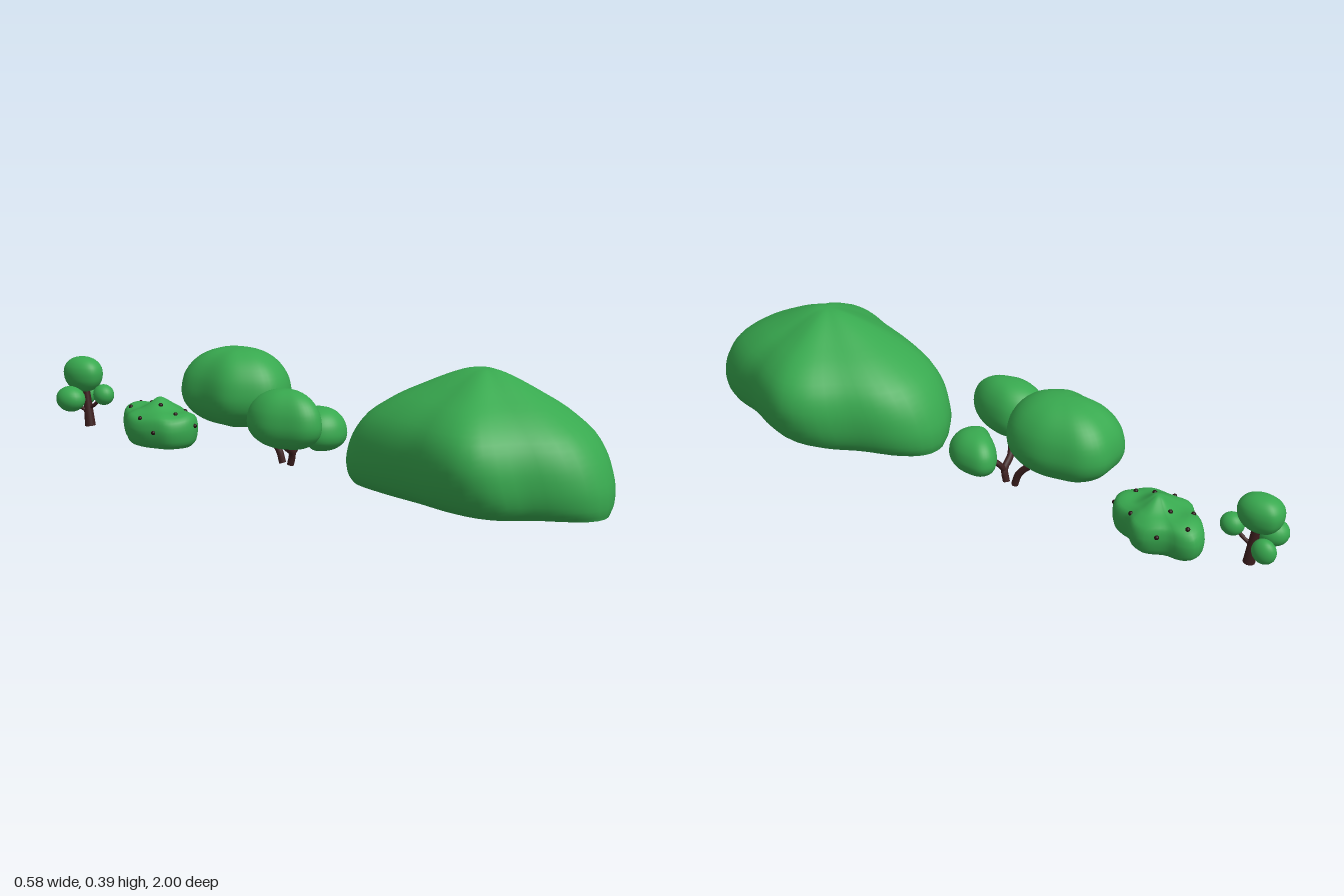
import * as THREE from 'three';
import { mergeVertices } from 'three/addons/utils/BufferGeometryUtils.js';

const leaf = new THREE.MeshStandardMaterial({ color: 0x38a94f, side: THREE.DoubleSide });
leaf.name = 'leaf green';
const bark = new THREE.MeshStandardMaterial({ color: 0x3c1e1e });
bark.name = 'dark bark';
const berry = new THREE.MeshStandardMaterial({ color: 0x241010 });
berry.name = 'dark berry';

const V = (p) => new THREE.Vector3(...p);

// Rounded skin: a plan outline [x, z] scaled about a centre at each level [y, scaleX, scaleZ]
function blob(name, outline, [cx, cz], levels, lump = () => 0) {
  const N = 56, M = 28, pos = [], idx = [];
  const ring = new THREE.CatmullRomCurve3(outline.map(([x, z]) => V([x, 0, z])), true).getSpacedPoints(N);
  const rows = new THREE.CatmullRomCurve3(levels.map(V)).getPoints(M);
  rows.forEach(({ x: y, y: sx, z: sz }) => {
    for (let i = 0; i < N; i++) {
      const x = cx + (ring[i].x - cx) * sx, z = cz + (ring[i].z - cz) * sz;
      pos.push(x, y + lump(x, z, y), z);
    }
  });
  for (let j = 0; j < M; j++) {
    for (let i = 0; i < N; i++) {
      const a = j * N + i, b = j * N + (i + 1) % N;
      idx.push(a, a + N, b, b, a + N, b + N);
    }
  }
  let geo = new THREE.BufferGeometry();
  geo.setAttribute('position', new THREE.Float32BufferAttribute(pos, 3));
  geo.setIndex(idx);
  geo = mergeVertices(geo, 1e-5);
  geo.computeVertexNormals();
  const mesh = new THREE.Mesh(geo, leaf);
  mesh.name = name;
  return mesh;
}

// Closed dome-like levels, widest a little below the middle
function domeLevels(y0, y1, waist = 0.43) {
  const ym = y0 + (y1 - y0) * waist, out = [];
  for (let k = 0; k <= 12; k++) {
    const a = -Math.PI / 2 + (Math.PI * k) / 12, s = Math.sin(a);
    const r = k % 12 ? Math.pow(Math.cos(a), 0.85) : 0;
    out.push([ym + s * (s < 0 ? ym - y0 : y1 - ym), r, r]);
  }
  return out;
}

function ball(name, p, r, material = leaf) {
  const mesh = new THREE.Mesh(new THREE.SphereGeometry(1, 24, 16), material);
  mesh.name = name;
  mesh.position.set(...p);
  mesh.scale.set(...r);
  return mesh;
}

function branch(name, pts, r) {
  const mesh = new THREE.Mesh(new THREE.TubeGeometry(new THREE.CatmullRomCurve3(pts.map(V)), 16, r, 10), bark);
  mesh.name = name;
  return mesh;
}

function group(name, ...parts) {
  const g = new THREE.Group();
  g.name = name;
  return g.add(...parts);
}

// Big hollow bush at the front
function largeBush() {
  return blob('largeBush', [
    [0, .172], [.07, .19], [.135, .25], [.2, .37], [.27, .47], [.29, .56], [.25, .68], [.2, .77],
    [.165, .87], [.09, .97], [0, .997], [-.07, .98], [-.13, .925], [-.19, .84], [-.26, .78],
    [-.29, .71], [-.28, .61], [-.24, .5], [-.19, .34], [-.13, .22], [-.06, .18],
  ], [0, .6], [
    [.018, .7, .98], [.05, .86, 1], [.1, .955, .995], [.16, 1, .945], [.22, .965, .85],
    [.28, .8, .66], [.33, .52, .43], [.37, .25, .22], [.386, .1, .1], [.389, 0, 0],
  ]);
}

// Branching tree with three crowns
function spreadingTree() {
  return group('spreadingTree',
    blob('largeCrown', [
      [0, -.455], [.06, -.45], [.105, -.41], [.125, -.34], [.137, -.25], [.11, -.16], [.06, -.115],
      [0, -.1], [-.05, -.112], [-.095, -.16], [-.13, -.23], [-.115, -.33], [-.1, -.41], [-.055, -.45],
    ], [0, -.27], domeLevels(.108, .352)),
    blob('rightCrown', [
      [-.11, -.13], [-.06, -.105], [-.032, -.05], [-.04, .02], [-.07, .085], [-.115, .122],
      [-.16, .1], [-.185, .04], [-.2, -.03], [-.185, -.085], [-.155, -.12],
    ], [-.115, 0], domeLevels(.095, .273)),
    blob('leftCrown', [
      [.11, -.1], [.14, -.08], [.147, -.03], [.135, .025], [.1, .065], [.05, .07],
      [.005, .04], [-.008, 0], [.02, -.04], [.065, -.085],
    ], [.07, -.012], domeLevels(.053, .186)),
    branch('backTrunk', [[.015, .008, -.115], [.014, .05, -.13], [.008, .095, -.175], [0, .13, -.23]], .011),
    branch('frontTrunk', [[.015, .008, -.085], [.01, .045, -.075], [-.03, .075, -.07], [-.09, .125, -.03]], .011),
    branch('leftBranch', [[.01, .04, -.077], [.03, .07, -.065], [.06, .1, -.03]], .009));
}

// Low hollow bush dotted with berries
function berryBush() {
  const skin = blob('berryBushLeaves', [
    [.04, -.772], [.085, -.765], [.1, -.73], [.1, -.69], [.13, -.62], [.115, -.575], [.085, -.545],
    [.06, -.485], [0, -.463], [-.065, -.5], [-.083, -.55], [-.09, -.6], [-.075, -.67],
    [-.045, -.7], [-.015, -.735],
  ], [.02, -.61], [
    [.004, .78, .83], [.025, .93, .96], [.06, 1, 1], [.085, .97, .97], [.108, .8, .78],
    [.122, .52, .48], [.134, .25, .22], [.14, .1, .1], [.142, 0, 0],
  ], (x, z, y) => .07 * y * Math.cos((z + .605) * 48) * Math.cos((x - .02) * 25));
  const bush = group('berryBush', skin);
  const dot = (from, dir) => {
    const hit = new THREE.Raycaster(V(from), V(dir)).intersectObject(skin)[0];
    if (hit) bush.add(ball('berry', hit.point.toArray(), [.007, .007, .007], berry));
  };
  [[-.005, -.71], [.072, -.735], [.04, -.66], [-.075, -.61], [-.01, -.58], [.08, -.555], [-.015, -.515]]
    .forEach(([x, z]) => dot([x, 1, z], [0, -1, 0]));
  dot([1, .075, -.66], [-1, 0, 0]);
  dot([.02, .075, 0], [0, 0, -1]);
  dot([-1, .06, -.55], [1, 0, 0]);
  return bush;
}

// Small tree at the back
function smallTree() {
  const trunk = new THREE.Mesh(new THREE.CylinderGeometry(.011, .018, .14, 12), bark);
  trunk.name = 'smallTrunk';
  trunk.position.set(0, .092, -.903);
  trunk.rotation.x = -.12;
  return group('smallTree',
    trunk,
    blob('topCrown', [
      [0, -.988], [.035, -.975], [.05, -.93], [.044, -.885], [.025, -.857], [0, -.85],
      [-.025, -.857], [-.044, -.885], [-.05, -.93], [-.035, -.975],
    ], [0, -.92], domeLevels(.135, .25, .55)),
    ball('rightPuff', [-.047, .115, -.935], [.042, .042, .052]),
    ball('leftPuff', [.054, .112, -.962], [.027, .038, .037]),
    ball('frontPuff', [.006, .132, -.838], [.032, .034, .036]),
    branch('frontTwig', [[0, .08, -.9], [.002, .095, -.875], [.006, .125, -.845]], .006),
    branch('leftTwig', [[0, .075, -.9], [.025, .09, -.925], [.05, .11, -.955]], .006),
    branch('rightTwig', [[0, .07, -.9], [-.02, .085, -.915], [-.045, .11, -.93]], .006));
}

export function createModel() {
  return group('shrubberySet', largeBush(), spreadingTree(), berryBush(), smallTree());
}
